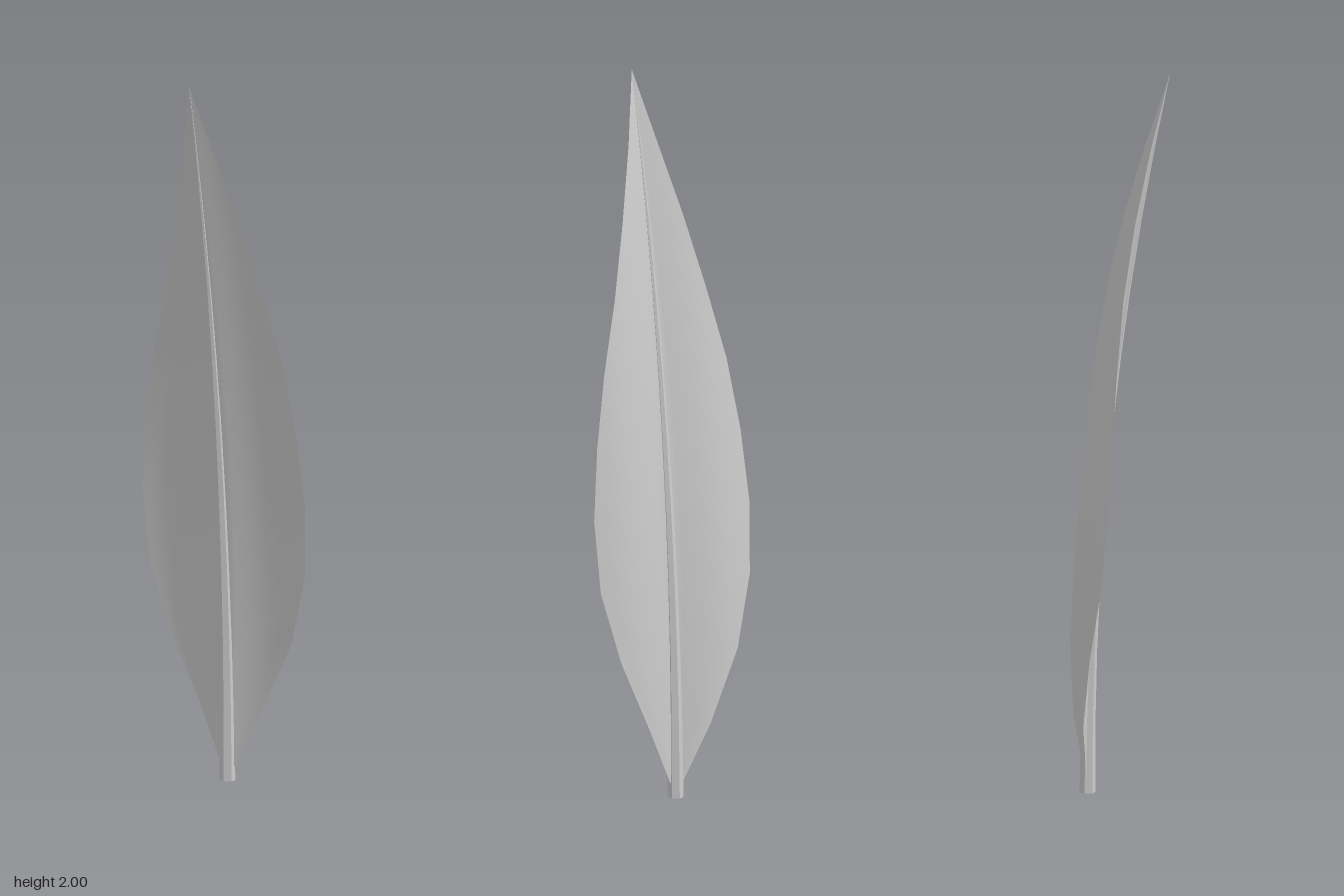
import * as THREE from 'three';

const HEIGHT = 2;
// half-width of the vane at equal steps from base to tip
const HALF_WIDTHS = [0, 0.097, 0.187, 0.24, 0.25, 0.231, 0.197, 0.147, 0.098, 0.047, 0];
const ROWS = HALF_WIDTHS.length - 1;

// forward curve of the spine, and the backward bulge of the vane to each side
const spineZ = (y) => -0.102 + 0.227 * (y / HEIGHT) ** 2;
const bulge = (x) => -0.033 * Math.sin((Math.PI * Math.abs(x)) / 0.3);

// applies a rule to every vertex of a geometry
function reshape(geometry, rule) {
  const pos = geometry.attributes.position;
  const p = new THREE.Vector3();
  for (let i = 0; i < pos.count; i++) {
    rule(p.fromBufferAttribute(pos, i));
    pos.setXYZ(i, p.x, p.y, p.z);
  }
  geometry.computeVertexNormals();
  return geometry;
}

// thin curved vane, from a plane with x in -1..1
function createVane() {
  const geometry = reshape(new THREE.PlaneGeometry(2, HEIGHT, 16, ROWS), (p) => {
    p.y += HEIGHT / 2;
    p.x *= HALF_WIDTHS[Math.round((p.y / HEIGHT) * ROWS)];
    p.z = spineZ(p.y) + bulge(p.x);
  });
  const material = new THREE.MeshStandardMaterial({ color: 0xcccccc, side: THREE.DoubleSide });
  const mesh = new THREE.Mesh(geometry, material);
  mesh.name = 'vane';
  return mesh;
}

// six-sided tapering shaft that follows the spine
function createShaft() {
  const geometry = reshape(new THREE.CylinderGeometry(0.001, 0.022, HEIGHT, 6, ROWS), (p) => {
    p.y += HEIGHT / 2;
    p.z += spineZ(p.y);
  });
  const material = new THREE.MeshStandardMaterial({ color: 0xcccccc, flatShading: true });
  const mesh = new THREE.Mesh(geometry, material);
  mesh.name = 'shaft';
  return mesh;
}

export function createModel() {
  const group = new THREE.Group();
  group.name = 'feather';
  group.add(createVane(), createShaft());
  return group;
}
